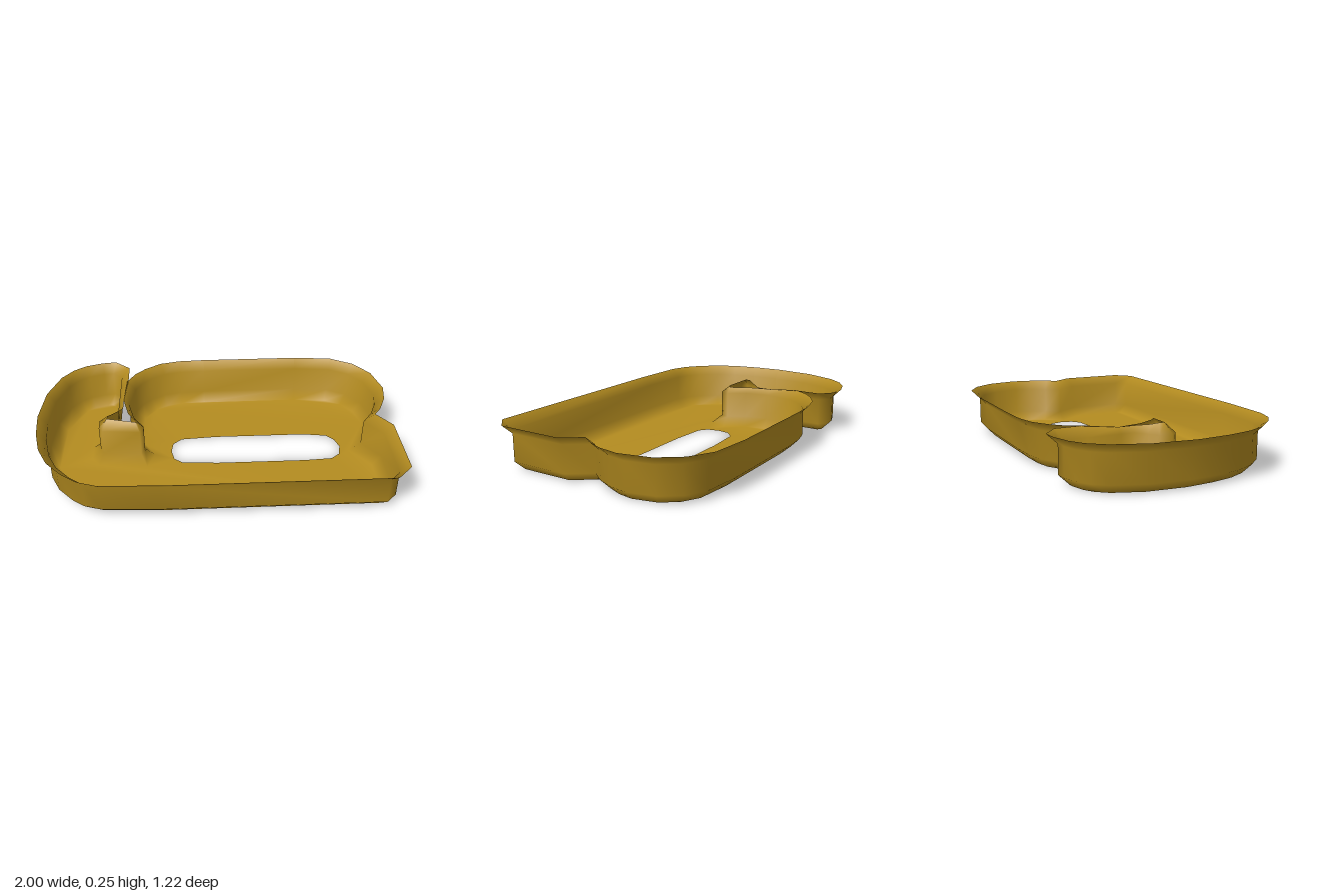
import * as THREE from 'three';

// Wall outline as [x, z, rimReach]; the rim reach defaults to 0.05
const OUTLINE = [
  // rounded back lobe
  [-0.5, -0.2, 0.03], [-0.47, -0.36], [-0.43, -0.43], [-0.38, -0.48], [-0.3, -0.53],
  [-0.2, -0.553], [-0.05, -0.56], [0.52, -0.56], [0.73, -0.54], [0.84, -0.48],
  [0.915, -0.38], [0.948, -0.23], [0.93, -0.13], [0.89, -0.04],
  // side notch and square front corner
  [0.83, 0.04], [0.92, 0.165], [0.92, 0.5], [0.865, 0.555],
  // front edge and rounded side
  [-0.32, 0.555], [-0.62, 0.54], [-0.71, 0.51], [-0.775, 0.46], [-0.855, 0.37],
  [-0.905, 0.265], [-0.935, 0.13], [-0.95, -0.03], [-0.93, -0.25], [-0.87, -0.415],
  [-0.815, -0.485], [-0.755, -0.525], [-0.67, -0.552], [-0.615, -0.558],
  // slot, ending in a small hollow post
  [-0.56, -0.51], [-0.56, -0.38], [-0.56, -0.2, 0.03], [-0.56, -0.13, 0.03],
  [-0.61, -0.08, 0.04], [-0.66, -0.04], [-0.66, 0.03], [-0.64, 0.06],
  [-0.43, 0.08, 0.04], [-0.41, 0.03, 0.03], [-0.47, -0.07, 0.03],
];

// Oblong opening in the floor
const OPENING = [
  [-0.2, -0.115], [0, -0.13], [0.52, -0.13], [0.66, -0.11], [0.7, -0.065], [0.72, 0],
  [0.705, 0.07], [0.655, 0.11], [0.5, 0.12], [0, 0.12], [-0.2, 0.105], [-0.245, 0.07],
  [-0.26, 0], [-0.25, -0.07],
];

// Unit outward normal of the edge from p to q
function edgeNormal(p, q) {
  return new THREE.Vector2(q[1] - p[1], p[0] - q[0]).normalize();
}

// Moves every outline point outward along its mitre
function offsetRing(points, reach) {
  const n = points.length;
  return points.map((p, i) => {
    const a = edgeNormal(points[(i + n - 1) % n], p);
    const b = edgeNormal(p, points[(i + 1) % n]);
    const m = a.clone().add(b).normalize();
    const d = reach(p) * Math.min(1 / Math.max(m.dot(b), 0.1), 1.4);
    return new THREE.Vector2(p[0] + m.x * d, p[1] + m.y * d);
  });
}

function trayGeometry() {
  const n = OUTLINE.length;
  const rimReach = (p) => p[2] ?? 0.05;
  const floor = offsetRing(OUTLINE, () => -0.05);
  const wall = offsetRing(OUTLINE, () => 0);
  const rim = offsetRing(OUTLINE, rimReach);
  const opening = OPENING.map(([x, z]) => new THREE.Vector2(x, z));
  const positions = [];
  const indices = [];
  const addRing = (ring, height) =>
    ring.forEach((p, i) => positions.push(p.x, height(i), p.y));

  // Rings from the floor edge up to the flared rim
  addRing(floor, () => 0);
  addRing(wall, () => 0.05);
  addRing(wall, () => 0.2);
  addRing(rim, (i) => 0.2 + rimReach(OUTLINE[i]));
  for (let r = 0; r < 3; r++) {
    for (let i = 0; i < n; i++) {
      const a = r * n + i;
      const b = r * n + (i + 1) % n;
      indices.push(a, b, b + n, a, b + n, a + n);
    }
  }

  // Floor with its opening, sharing the lowest ring
  addRing(opening, () => 0);
  const flat = [...floor, ...opening];
  const id = (i) => (i < n ? i : i + 3 * n);
  for (const [a, b, c] of THREE.ShapeUtils.triangulateShape(floor, [opening])) {
    const ab = flat[b].clone().sub(flat[a]);
    const ac = flat[c].clone().sub(flat[a]);
    if (ab.cross(ac) < 0) indices.push(id(a), id(b), id(c));
    else indices.push(id(a), id(c), id(b));
  }

  const geometry = new THREE.BufferGeometry();
  geometry.setAttribute('position', new THREE.Float32BufferAttribute(positions, 3));
  geometry.setIndex(indices);
  geometry.computeVertexNormals();
  return geometry;
}

export function createModel() {
  const group = new THREE.Group();
  group.name = 'flaredTray';
  const brass = new THREE.MeshStandardMaterial({ color: 0xb48c20, side: THREE.DoubleSide });
  brass.name = 'brass';
  const tray = new THREE.Mesh(trayGeometry(), brass);
  tray.name = 'trayShell';
  group.add(tray);
  return group;
}
